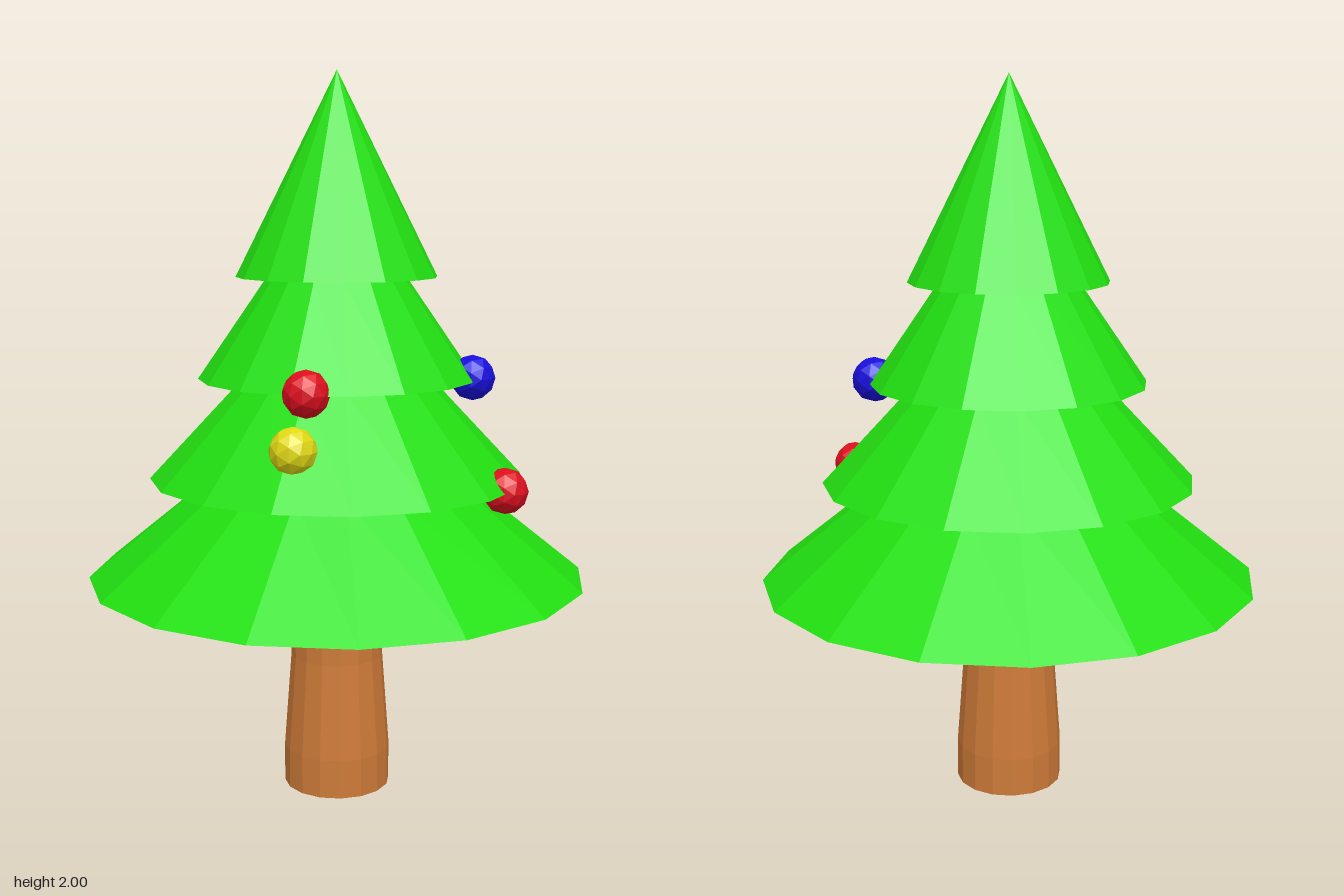
import * as THREE from 'three';

const SIDES = 16;

const paint = (color) => new THREE.MeshStandardMaterial({ color, flatShading: true });

// Faceted solid of revolution; the profile runs from bottom to top
function turned(name, profile, material) {
  const points = profile.map(([r, y]) => new THREE.Vector2(r, y));
  const mesh = new THREE.Mesh(new THREE.LatheGeometry(points, SIDES), material);
  mesh.name = name;
  return mesh;
}

export function createModel() {
  const tree = new THREE.Group();
  tree.name = 'decoratedTree';

  // Trunk with a slightly wider foot
  tree.add(turned('trunk',
    [[0, 0], [0.15, 0], [0.15, 0.11], [0.13, 0.38], [0.13, 0.62]],
    paint(0xcd7a38)));

  // Foliage: each tier narrows to half its width, then the next flares out
  const tiers = [[0.695, 0.615], [0.52, 0.895], [0.383, 1.172], [0.277, 1.45]];
  const profile = [[0, tiers[0][1]]];
  tiers.forEach(([r, y], i) => {
    profile.push([r, y]);
    const next = tiers[i + 1];
    profile.push(next ? [r / 2, next[1]] : [0, 2]);
  });
  tree.add(turned('foliage', profile, paint(0x22e011)));

  // Baubles hung on the tiers
  const ball = new THREE.IcosahedronGeometry(0.063, 1);
  const red = paint(0xdc0f1e), yellow = paint(0xe0d814), blue = paint(0x180fdc);
  const baubles = [
    ['redBaubleFront', red, 0.17, 1.175, 0.317],
    ['yellowBauble', yellow, 0.17, 1.035, 0.367],
    ['redBaubleSide', red, 0.467, 0.892, -0.145],
    ['blueBauble', blue, 0.3, 1.175, -0.223],
  ];
  for (const [name, material, x, y, z] of baubles) {
    const mesh = new THREE.Mesh(ball, material);
    mesh.name = name;
    mesh.position.set(x, y, z);
    tree.add(mesh);
  }
  return tree;
}
